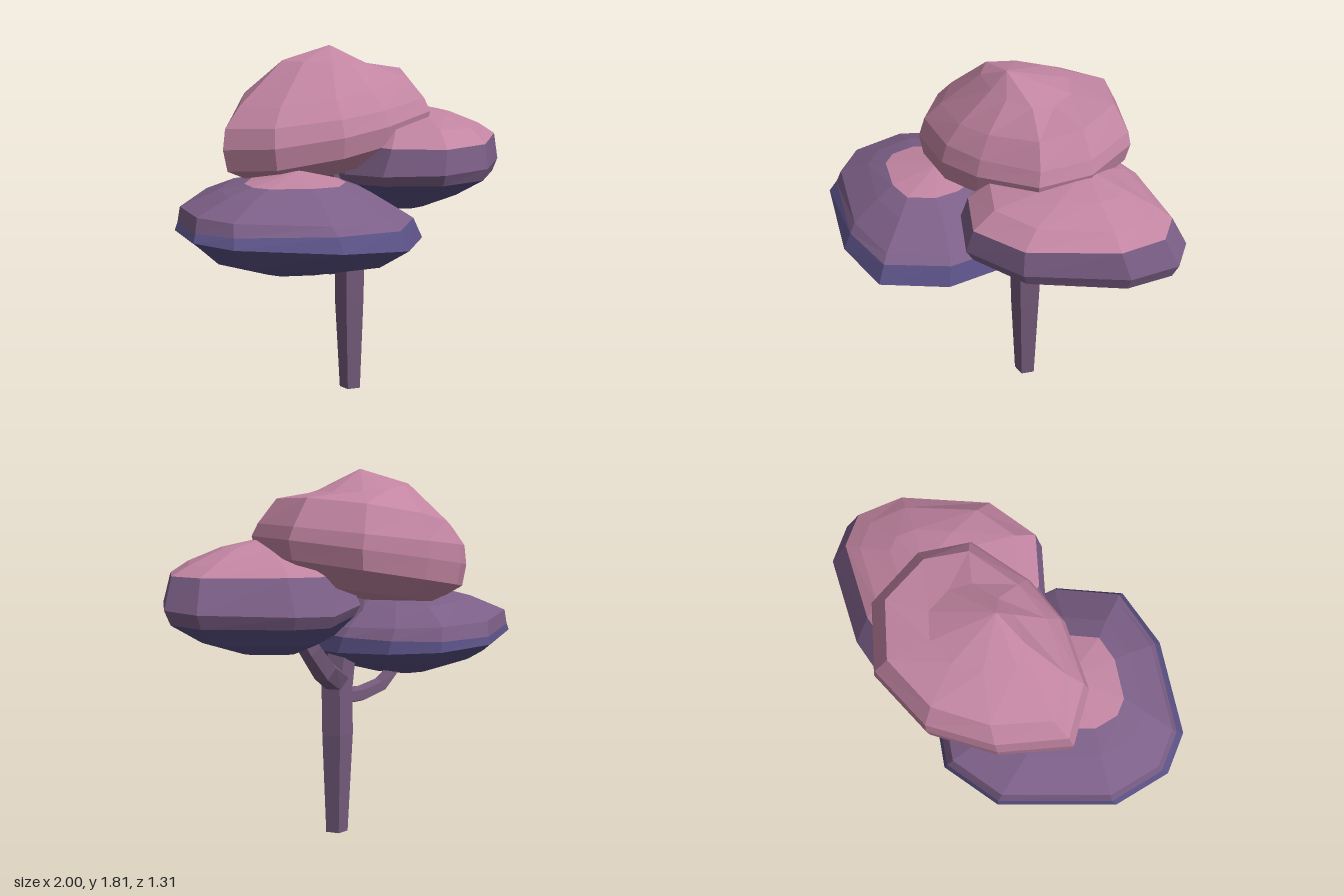
import * as THREE from 'three';

const mat = (name, color) => {
  const m = new THREE.MeshStandardMaterial({ color, flatShading: true });
  m.name = name;
  return m;
};
const V = (x, y, z) => new THREE.Vector3(x, y, z);

// Skin a list of rings (equal point counts, ordered bottom to top)
function loft(rings) {
  const pos = [];
  const tri = (a, b, c) => {
    if (b.clone().sub(a).cross(c.clone().sub(a)).length() > 1e-7)
      for (const p of [a, b, c]) pos.push(p.x, p.y, p.z);
  };
  for (let r = 0; r + 1 < rings.length; r++) {
    const lo = rings[r], hi = rings[r + 1], n = lo.length;
    for (let i = 0; i < n; i++) {
      const j = (i + 1) % n;
      tri(lo[i], lo[j], hi[j]);
      tri(lo[i], hi[j], hi[i]);
    }
  }
  const g = new THREE.BufferGeometry();
  g.setAttribute('position', new THREE.Float32BufferAttribute(pos, 3));
  g.computeVertexNormals();
  return g;
}

// Foliage cushion: one outline scaled per level [scale, y, slope in x, slope in z, shift x, shift z]
// bands: [name, material, first level, last level]
function foliage(name, outline, [cx, cz], levels, bands) {
  const rings = levels.map(([s, y, sx = 0, sz = 0, ox = 0, oz = 0]) =>
    outline.map(([x, z]) => {
      const dx = (x - cx) * s, dz = (z - cz) * s;
      return V(cx + dx + ox, y + dx * sx + dz * sz, cz + dz + oz);
    }));
  const group = new THREE.Group();
  group.name = name;
  for (const [part, material, a, b] of bands) {
    const mesh = new THREE.Mesh(loft(rings.slice(a, b + 1)), material);
    mesh.name = part;
    group.add(mesh);
  }
  return group;
}

// Tapered, bent five-sided limb through points [x, y, z, radius]; one edge faces the given side
function limb(name, points, edgeSide, material) {
  const sides = 5;
  const c = points.map(([x, y, z]) => V(x, y, z));
  const rings = points.map(([, , , rad], k) => {
    const t = c[Math.min(k + 1, c.length - 1)].clone().sub(c[Math.max(k - 1, 0)]).normalize();
    const b = t.clone().cross(edgeSide).normalize();
    const n = b.clone().cross(t);
    return Array.from({ length: sides }, (_, i) => {
      const a = (i / sides) * Math.PI * 2;
      return c[k].clone().addScaledVector(n, Math.cos(a) * rad).addScaledVector(b, Math.sin(a) * rad);
    });
  });
  // close both ends
  rings.unshift(rings[0].map(() => c[0]));
  rings.push(rings[0].map(() => c[c.length - 1]));
  const mesh = new THREE.Mesh(loft(rings), material);
  mesh.name = name;
  return mesh;
}

export function createModel() {
  const tree = new THREE.Group();
  tree.name = 'tree';
  const pink = mat('pink leaves', 0xc285a2);
  const purple = mat('purple leaves', 0x7d6088);
  const blue = mat('blue leaves', 0x5a5185);
  const bark = mat('bark', 0x755b7c);

  // Trunk and branches
  tree.add(
    limb('trunk', [[0.09, 0, -0.135, 0.058], [0.088, 0.5, -0.135, 0.082],
      [0.088, 0.74, -0.13, 0.083], [0.06, 0.9, -0.13, 0.075], [0, 1.2, -0.15, 0.06]], V(1, 0, 0), bark),
    limb('rightBranch', [[0.1, 0.77, -0.15, 0.065], [0.24, 0.85, -0.275, 0.062],
      [0.33, 0.96, -0.305, 0.056], [0.41, 1.08, -0.31, 0.05]], V(0, 0, 1), bark),
    limb('leftBranch', [[0.08, 0.68, -0.12, 0.046], [-0.07, 0.682, -0.11, 0.042],
      [-0.19, 0.715, -0.1, 0.04], [-0.26, 0.775, -0.09, 0.035], [-0.27, 0.86, -0.09, 0.03]], V(0, 0, 1), bark));

  // Low, wide cushion on the -x side
  tree.add(foliage('lowFoliage',
    [[-1, 0.07], [-0.92, 0.28], [-0.52, 0.57], [-0.2, 0.65], [0.07, 0.44], [0.18, 0.15],
      [0.15, -0.25], [0.02, -0.5], [-0.18, -0.65], [-0.5, -0.61], [-0.92, -0.22]],
    [-0.42, 0],
    [[0, 0.755, 0, 0, 0, 0.08], [0.32, 0.765, 0.03, 0, 0, 0.08], [0.76, 0.845, 0, -0.06, 0, 0.01],
      [1, 0.94, -0.04, -0.03], [0.955, 1.0, 0, 0, 0, -0.02], [0.905, 1.055, -0.03, -0.03, -0.01, -0.03],
      [0.62, 1.14, -0.02, -0.02], [0.41, 1.18, 0, 0, 0, 0.03], [0, 1.23, 0, 0, 0.05, 0.03]],
    [['lowUnderside', blue, 0, 4], ['lowSides', purple, 4, 7], ['lowCrown', pink, 7, 8]]));

  // Middle cushion on the +x side
  tree.add(foliage('middleFoliage',
    [[0.92, -0.3], [0.53, -0.52], [0.35, -0.56], [0.05, -0.3], [-0.06, 0], [-0.02, 0.25],
      [0.2, 0.46], [0.52, 0.43], [0.9, 0.12], [1, -0.12]],
    [0.46, -0.07],
    [[0, 0.93, 0, 0, 0, -0.09], [0.3, 0.945, 0, 0, 0, -0.09], [0.68, 1.02, -0.02, 0.05, 0, -0.05],
      [0.94, 1.11, -0.02, 0.05], [1, 1.17, 0, 0.05], [0.89, 1.32, 0, 0, 0, 0.04],
      [0.72, 1.385, -0.04, 0.03, 0, 0.03], [0.38, 1.44, 0, 0.02, 0.01, 0.02], [0, 1.49, 0, 0, 0, -0.03]],
    [['middleUnderside', blue, 0, 3], ['middleSides', purple, 3, 5], ['middleCrown', pink, 5, 8]]));

  // Tall, tilted top cushion
  tree.add(foliage('topFoliage',
    [[-0.63, -0.23], [-0.5, 0.02], [-0.2, 0.18], [0.05, 0.21], [0.38, 0.15], [0.52, -0.07],
      [0.5, -0.4], [0.25, -0.64], [-0.1, -0.66], [-0.4, -0.5]],
    [-0.04, -0.2],
    [[0, 1.17], [0.68, 1.21, 0.17], [0.96, 1.31, 0.17], [1, 1.41, 0.15], [0.96, 1.49, 0.12, 0, 0, -0.015],
      [0.81, 1.6, 0.17, -0.05, 0, -0.03], [0.42, 1.72, -0.07, 0, 0.02, -0.02], [0, 1.81, 0, 0, -0.01, 0.07]],
    [['topLeaves', pink, 0, 7]]));

  return tree;
}
